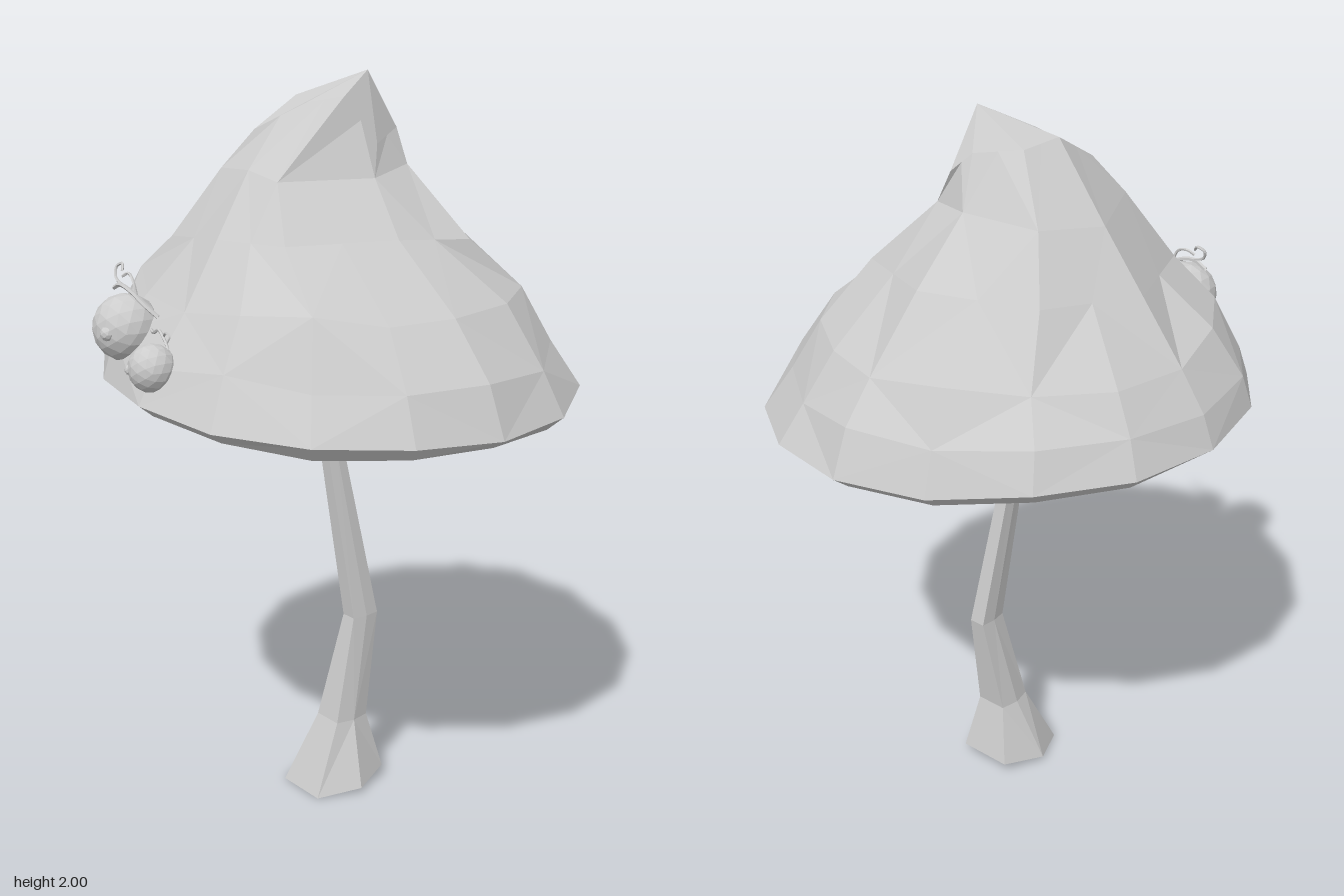
import * as THREE from 'three';

const material = new THREE.MeshStandardMaterial({ color: 0xcccccc, flatShading: true, side: THREE.DoubleSide });

// Small seeded noise, -1..1
const noise = (i, j) => {
  const s = Math.sin(i * 12.9898 + j * 78.233) * 43758.5453;
  return (s - Math.floor(s)) * 2 - 1;
};

function mesh(geometry, name) {
  const m = new THREE.Mesh(geometry, material);
  m.name = name;
  return m;
}

// Joins equal-length rings of points into a faceted skin
function loft(rings) {
  const pos = [];
  const n = rings[0].length;
  const tri = (...pts) => pts.forEach(p => pos.push(p.x, p.y, p.z));
  for (let i = 0; i < rings.length - 1; i++) {
    for (let j = 0; j < n; j++) {
      const k = (j + 1) % n;
      const a = rings[i][j], b = rings[i][k], c = rings[i + 1][j], d = rings[i + 1][k];
      if ((i + j) % 2) { tri(a, c, b); tri(b, c, d); }
      else { tri(a, c, d); tri(a, d, b); }
    }
  }
  const g = new THREE.BufferGeometry();
  g.setAttribute('position', new THREE.Float32BufferAttribute(pos, 3));
  g.computeVertexNormals();
  return g;
}

// Ring whose reach differs to the left, right, front and back
function ring(n, y, xMin, xMax, zMin, zMax, adjust) {
  return Array.from({ length: n }, (_, j) => {
    const a = j / n * Math.PI * 2, c = Math.cos(a), s = Math.sin(a);
    const x = c > 0 ? c * xMax : -c * xMin, z = s > 0 ? s * zMax : -s * zMin;
    return adjust(new THREE.Vector3(x, y, z), j);
  });
}

function makeCap() {
  // Skirt: y, xMin, xMax, zMin, zMax, jitter
  const skirt = [
    [1.20, -0.53, 0.53, -0.53, 0.53, 0],
    [1.18, -0.625, 0.61, -0.60, 0.59, 0.006],
    [1.215, -0.655, 0.65, -0.645, 0.63, 0.008],
    [1.32, -0.62, 0.58, -0.595, 0.575, 0.018],
    [1.45, -0.545, 0.47, -0.52, 0.48, 0.022],
  ];
  const rings = skirt.map(([y, x0, x1, z0, z1, jitter], i) => ring(16, y, x0, x1, z0, z1, (p, j) => {
    // sagging right side, bulge at front left, hollow at back right
    p.y += -0.05 * p.x / 0.65 * Math.max(0, 1 - (y - 1.2) / 0.4) + noise(i, j) * jitter;
    const shape = i < 3 ? 1 : j > 4 && j < 8 ? 1.04 : j === 13 || j === 14 ? 0.96 : 1;
    const r = shape * (1 + noise(j, i + 3) * jitter);
    p.x *= r;
    p.z *= r;
    return p;
  }));

  // Folded peak: eight points per level, from the +x side round through the front
  const peak = [
    [[0.27, 1.60, 0.02], [0.17, 1.60, 0.30], [-0.02, 1.60, 0.37], [-0.29, 1.57, 0.33],
      [-0.43, 1.60, 0], [-0.32, 1.62, -0.26], [-0.02, 1.62, -0.36], [0.28, 1.58, -0.21]],
    [[0.15, 1.74, 0], [0.06, 1.74, 0.24], [-0.05, 1.76, 0.25], [-0.20, 1.75, 0.23],
      [-0.31, 1.75, 0], [-0.24, 1.77, -0.17], [-0.02, 1.77, -0.19], [0.10, 1.76, -0.15]],
    [[0.11, 1.82, -0.04], [0.075, 1.94, 0.04], [-0.03, 1.92, 0.08], [-0.14, 1.85, 0.165],
      [-0.14, 1.93, 0.03], [-0.12, 1.92, -0.08], [0, 1.90, -0.13], [0.05, 1.85, -0.155]],
  ];
  for (const level of peak) {
    const pts = level.map(p => new THREE.Vector3(...p));
    rings.push(pts.flatMap((p, j) => [p, p.clone().lerp(pts[(j + 1) % 8], 0.5)]));
  }
  rings.push(Array.from({ length: 16 }, () => new THREE.Vector3(0.04, 2, -0.065)));
  return mesh(loft(rings), 'cap');
}

function makeGills() {
  // Pleated shallow cone, lowest at the stem
  const pleat = (r, y, depth) => ring(144, y, -r, r, -r, r, (p, j) => {
    p.y += (j % 2 ? depth : -depth) - 0.05 * p.x / 0.65;
    return p;
  });
  return mesh(loft([pleat(0.015, 1.165, 0.002), pleat(0.25, 1.185, 0.018), pleat(0.535, 1.21, 0.022)]), 'gills');
}

function makeStem() {
  // y, xMin, xMax, zMin, zMax
  const sections = [
    [0.015, 0.01, 0.011, 0.02, 0.021],
    [0.02, -0.12, 0.135, -0.095, 0.14],
    [0.20, -0.04, 0.07, -0.055, 0.05],
    [0.50, 0.0, 0.057, -0.10, -0.015],
    [1.0, -0.042, 0.0, -0.02, 0.035],
    [1.22, -0.038, 0.006, -0.015, 0.048],
  ];
  const rings = sections.map(([y, x0, x1, z0, z1], i) => {
    const cx = (x0 + x1) / 2, cz = (z0 + z1) / 2, w = (x1 - x0) / 2, d = (z1 - z0) / 2;
    return ring(6, y, -w, w, -d * 1.15, d * 1.15, (p, j) => {
      // broad front and back faces, foot leaning down to the front
      if (j % 3) p.x *= i < 2 ? 1.2 : 1.6;
      if (i === 1) p.y -= p.z * 0.13;
      return p.add(new THREE.Vector3(cx, 0, cz));
    });
  });
  return mesh(loft(rings), 'stem');
}

function ball(r, x, y, z, name, detail) {
  const m = mesh(new THREE.IcosahedronGeometry(r, detail), name);
  m.position.set(x, y, z);
  return m;
}

function twig(points, r, name) {
  const curve = new THREE.CatmullRomCurve3(points.map(p => new THREE.Vector3(...p)));
  return mesh(new THREE.TubeGeometry(curve, 24, r, 5), name);
}

export function createModel() {
  const model = new THREE.Group();
  model.add(makeCap(), makeGills(), makeStem());

  // Eyes with small pupils
  const eyes = new THREE.Group();
  eyes.name = 'eyes';
  eyes.add(
    ball(0.088, -0.19, 1.37, 0.54, 'rightEye', 2),
    ball(0.02, -0.162, 1.368, 0.612, 'rightPupil', 1),
    ball(0.062, 0.002, 1.307, 0.586, 'leftEye', 2),
    ball(0.014, -0.025, 1.305, 0.633, 'leftPupil', 1),
  );

  // Curly twig eyebrows
  const brows = new THREE.Group();
  brows.name = 'eyebrows';
  brows.add(
    twig([[-0.26, 1.46, 0.53], [-0.22, 1.475, 0.535], [-0.17, 1.465, 0.535], [-0.12, 1.435, 0.525], [-0.085, 1.41, 0.51]], 0.006, 'rightBrow'),
    twig([[-0.21, 1.475, 0.535], [-0.25, 1.49, 0.53], [-0.26, 1.515, 0.52], [-0.24, 1.525, 0.515], [-0.225, 1.51, 0.525]], 0.004, 'rightBrowCurl'),
    twig([[-0.15, 1.455, 0.53], [-0.165, 1.49, 0.53], [-0.205, 1.505, 0.52], [-0.225, 1.495, 0.525]], 0.004, 'rightBrowSprig'),
    twig([[-0.055, 1.39, 0.55], [-0.02, 1.39, 0.565], [0.02, 1.405, 0.575], [0.06, 1.39, 0.585], [0.09, 1.375, 0.595]], 0.004, 'leftBrow'),
    twig([[0.05, 1.395, 0.58], [0.075, 1.41, 0.59], [0.1, 1.405, 0.595], [0.095, 1.39, 0.6]], 0.003, 'leftBrowCurl'),
  );
  model.add(eyes, brows);
  return model;
}
